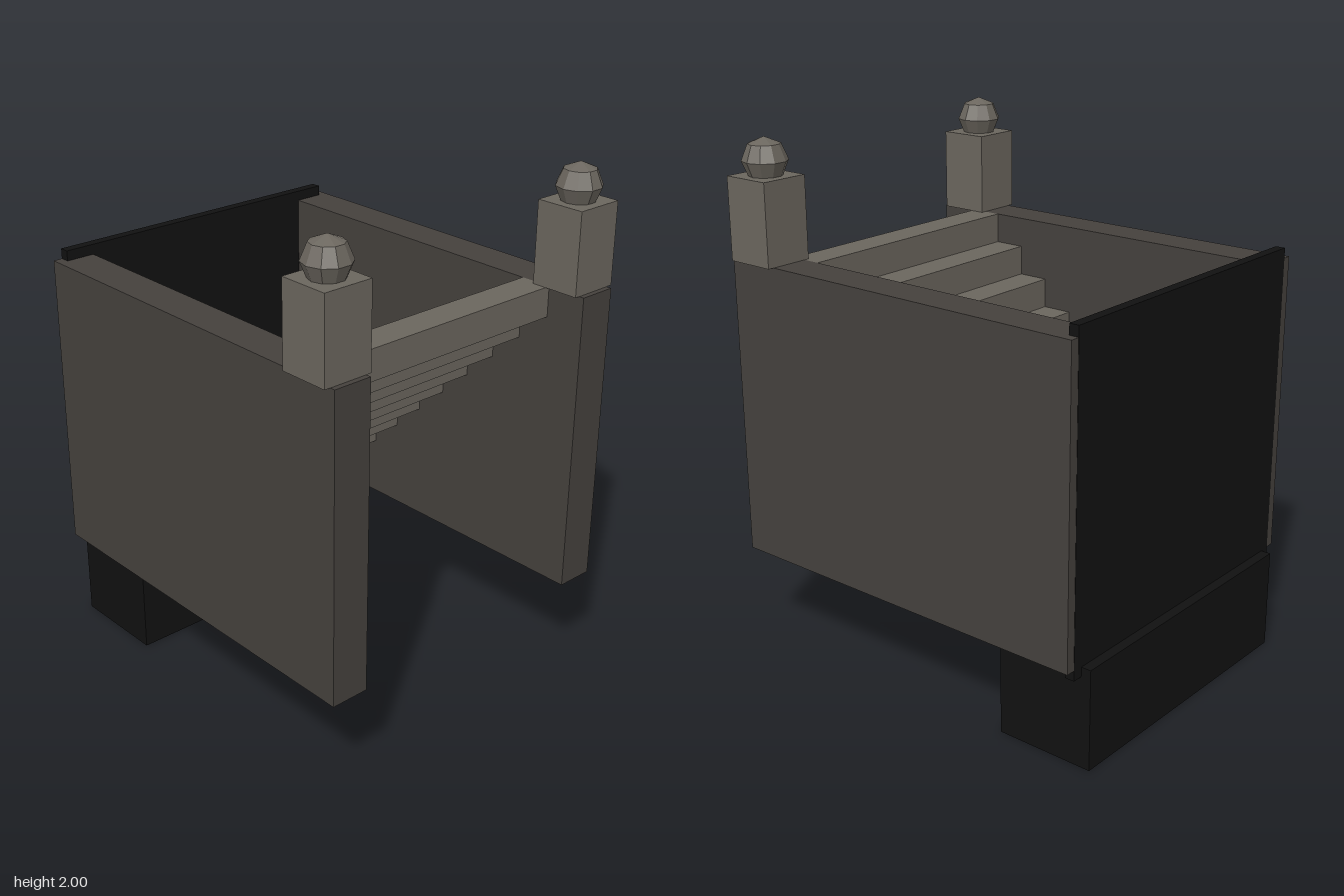
import * as THREE from 'three';

const paint = (color, flatShading = false) => new THREE.MeshStandardMaterial({ color, flatShading });

export function createModel() {
  const model = new THREE.Group();
  const stone = paint(0x6b665e, true);
  const darkStone = paint(0x45413d);
  const black = paint(0x111111);

  // Box given by its lower and upper limits on each axis
  const box = (name, mat, [x0, x1], [y0, y1], [z0, z1]) => {
    const mesh = new THREE.Mesh(new THREE.BoxGeometry(x1 - x0, y1 - y0, z1 - z0), mat);
    mesh.position.set((x0 + x1) / 2, (y0 + y1) / 2, (z0 + z1) / 2);
    mesh.name = name;
    model.add(mesh);
  };

  // Flight of ten separate blocks, descending from front to back
  const count = 10, rise = 0.116, run = 0.1243;
  for (let i = 0; i < count; i++) {
    const top = 1.55 - i * rise, front = 0.638 - i * run;
    box('step' + (i + 1), stone, [-0.507, 0.507], [top - rise, top], [front - run, front]);
  }

  // Side walls, newel posts and faceted ball finials
  for (const [side, s] of [['left', 1], ['right', -1]]) {
    const inner = 0.506 * s, outer = 0.656 * s;
    box(side + 'Wall', darkStone, [Math.min(inner, outer), Math.max(inner, outer)], [0.39, 1.55], [-0.755, 0.795]);
    const px = 0.583 * s, pz = 0.678;
    box(side + 'Post', stone, [px - 0.097, px + 0.097], [1.55, 1.861], [pz - 0.097, pz + 0.097]);
    const ball = new THREE.Mesh(new THREE.SphereGeometry(0.085, 10, 4), stone);
    ball.position.set(px, 1.915, pz);
    ball.name = side + 'Finial';
    model.add(ball);
  }

  // Dark passage at the foot of the stairs
  box('backPanel', black, [-0.62, 0.62], [0.351, 1.589], [-0.756, -0.718]);
  box('lowerPassage', black, [-0.58, 0.58], [0, 0.388], [-0.795, -0.404]);

  return model;
}
